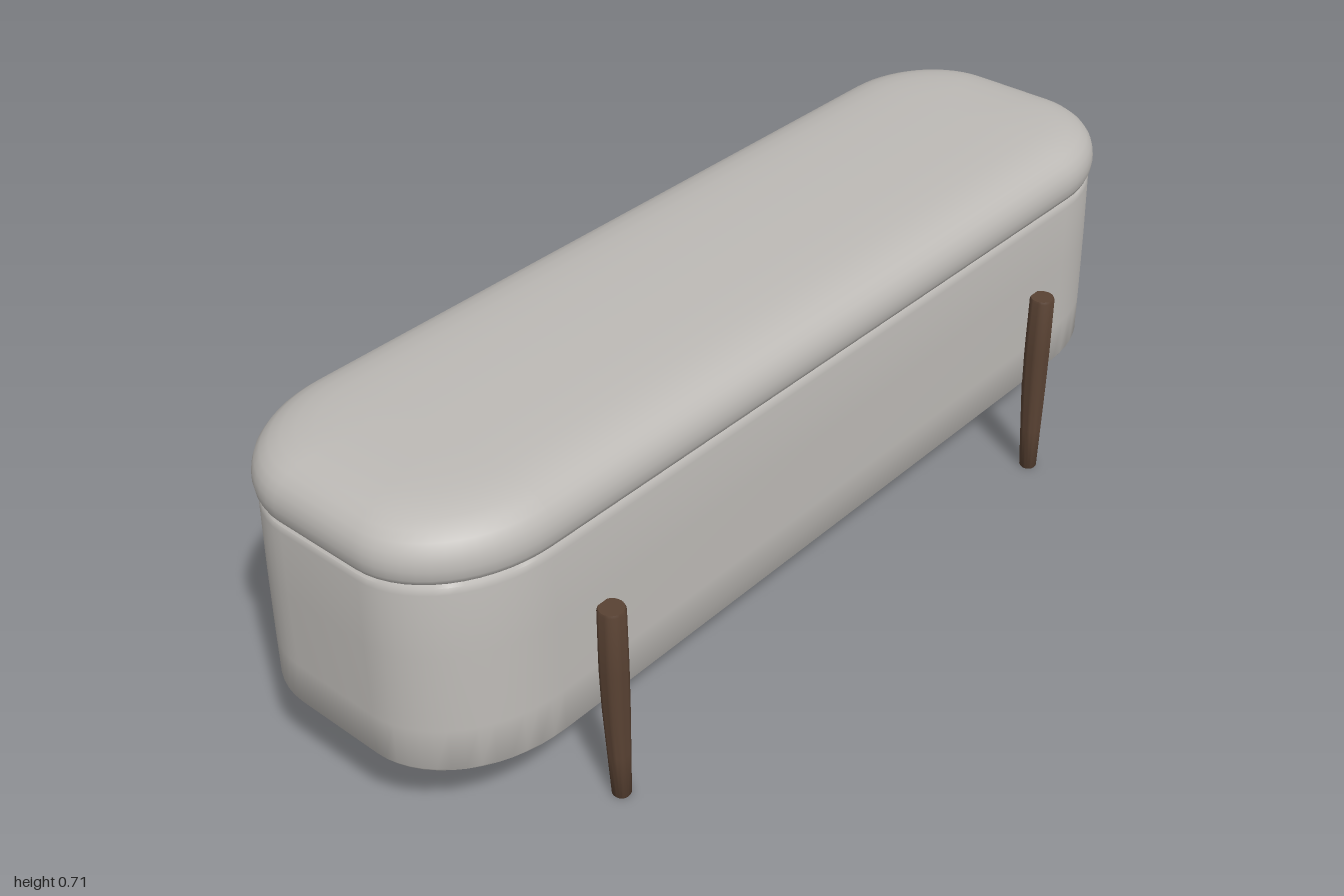
import * as THREE from 'three';
import { toCreasedNormals } from 'three/addons/utils/BufferGeometryUtils.js';

const CORNER_STEPS = 14;

// Rounded-rectangle ring at height y, drawn in by `inset` on every side
function ring(y, inset) {
  const hx = 1 - inset, hz = 0.295 - inset;
  const rx = Math.max(0.25 - inset, 0.03), rz = Math.max(0.2 - inset * 0.8, 0.03);
  const signs = [[1, 1], [-1, 1], [-1, -1], [1, -1]];
  const points = [];
  signs.forEach(([sx, sz], corner) => {
    for (let i = 0; i <= CORNER_STEPS; i++) {
      const a = (corner + i / CORNER_STEPS) * Math.PI / 2;
      points.push([sx * (hx - rx) + rx * Math.cos(a), y, sz * (hz - rz) + rz * Math.sin(a)]);
    }
  });
  return points;
}

// Skin through a bottom-to-top profile of [y, inset], closed at both ends if asked
function loft(profile, capBottom, capTop, crease) {
  const rings = profile.map(([y, inset]) => ring(y, inset));
  const n = rings[0].length, last = rings.length - 1;
  const positions = rings.flat(2), index = [];
  for (let k = 0; k < last; k++) {
    for (let j = 0; j < n; j++) {
      const a = k * n + j, b = k * n + (j + 1) % n;
      index.push(a, a + n, b, b, a + n, b + n);
    }
  }
  const cap = (k, top) => {
    const centre = positions.length / 3;
    positions.push(0, profile[k][0], 0);
    for (let j = 0; j < n; j++) {
      const a = k * n + j, b = k * n + (j + 1) % n;
      index.push(centre, top ? b : a, top ? a : b);
    }
  };
  if (capBottom) cap(0, false);
  if (capTop) cap(last, true);
  const geometry = new THREE.BufferGeometry();
  geometry.setAttribute('position', new THREE.Float32BufferAttribute(positions, 3));
  geometry.setIndex(index);
  return toCreasedNormals(geometry, crease);
}

// Tapered round leg whose outer line stays nearly upright
function legGeometry() {
  const profile = [[0, 0], [0.016, 0], [0.018, 0.003], [0.0215, 0.1], [0.025, 0.2],
    [0.0265, 0.29], [0.0255, 0.42], [0.0235, 0.425], [0, 0.425]];
  const geometry = new THREE.LatheGeometry(profile.map(([r, y]) => new THREE.Vector2(r, y)), 24);
  const p = geometry.attributes.position;
  for (let i = 0; i < p.count; i++) {
    const lean = 0.007 * (1 - Math.min(p.getY(i) / 0.25, 1));
    p.setZ(i, p.getZ(i) + lean);
  }
  return toCreasedNormals(geometry, 0.7);
}

export function createModel() {
  const fabric = new THREE.MeshStandardMaterial({ color: 0xbdbab6 });
  fabric.name = 'light grey fabric';
  const wood = new THREE.MeshStandardMaterial({ color: 0x594233 });
  wood.name = 'dark wood';
  const lining = new THREE.MeshStandardMaterial({ color: 0x2c2927 });
  lining.name = 'dark lining';

  const model = new THREE.Group();
  model.name = 'bench';
  const add = (name, geometry, material) => {
    const mesh = new THREE.Mesh(geometry, material);
    mesh.name = name;
    model.add(mesh);
    return mesh;
  };

  // Upholstered body: inner rim, lower edge, slightly tapering wall, tucked seam
  add('body', loft([
    [0.222, 0.02], [0.212, 0.018], [0.211, 0.004], [0.216, 0.001],
    [0.3, 0.002], [0.45, 0.005], [0.58, 0.009], [0.592, 0.011], [0.599, 0.017], [0.6, 0.03],
  ], false, true, 0.9), fabric);

  // Dark panel closing the underside
  add('underside', loft([[0.22, 0.018], [0.226, 0.018]], true, true, 0.6), lining);

  // Soft cushion with a rolled edge and a low crown
  add('cushion', loft([
    [0.596, 0.03], [0.597, 0.016], [0.602, 0.01], [0.612, 0.006], [0.63, 0.004], [0.645, 0.006],
    [0.66, 0.011], [0.674, 0.021], [0.686, 0.036], [0.695, 0.056], [0.7015, 0.08],
    [0.7055, 0.11], [0.708, 0.15], [0.7095, 0.2], [0.71, 0.26],
  ], true, true, 0.9), fabric);

  // Four legs fixed to the long sides
  const leg = legGeometry();
  for (const side of [1, -1]) {
    for (const x of [-0.648, 0.648]) {
      const name = (side > 0 ? 'front' : 'back') + (x > 0 ? 'Left' : 'Right') + 'Leg';
      const mesh = add(name, leg, wood);
      mesh.position.set(x, 0, side * 0.311);
      if (side < 0) mesh.rotation.y = Math.PI;
    }
  }
  return model;
}
